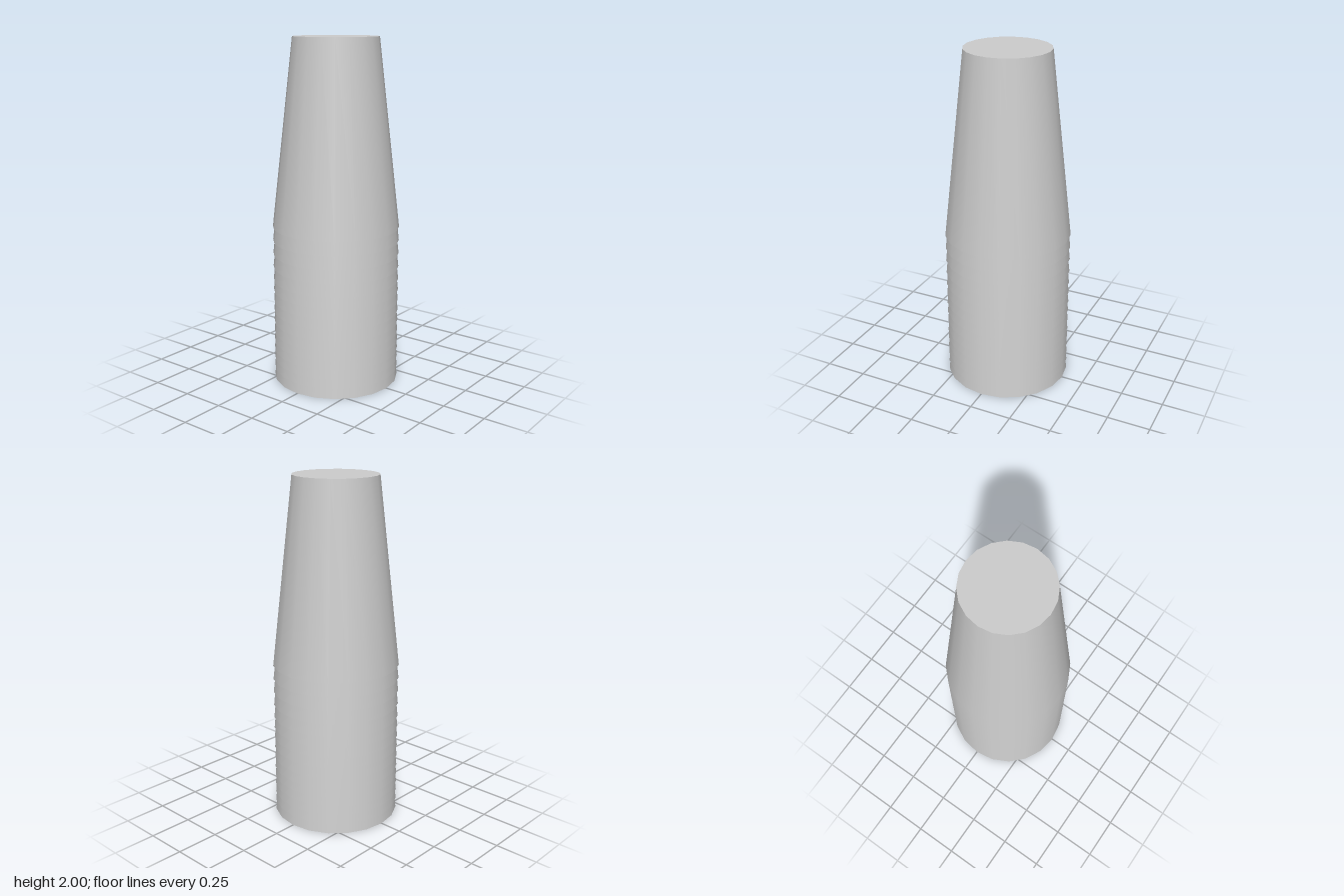
import * as THREE from 'three';
import { mergeGeometries } from 'three/addons/utils/BufferGeometryUtils.js';

const SIDES = 20;
const HEIGHT = 1.083;
const BASE_RADIUS = 0.367;
const TOP_RADIUS = 0.244;
const WALL = 0.01;

// One hollow, tapered cup standing upside down; each straight run is its own lathe so edges stay sharp
function cupGeometry() {
  const profile = [
    [BASE_RADIUS - WALL, 0], // rim, inside
    [BASE_RADIUS, 0], // rim, outside
    [TOP_RADIUS, HEIGHT], // outer wall
    [0, HEIGHT], // closed end
    [0, HEIGHT - WALL], // ceiling inside
    [TOP_RADIUS - WALL, HEIGHT - WALL],
    [BASE_RADIUS - WALL, 0], // inner wall
  ].map(([r, y]) => new THREE.Vector2(r, y));

  const runs = [];
  for (let i = 0; i < profile.length - 1; i++) {
    if (profile[i].x === 0 && profile[i + 1].x === 0) continue;
    runs.push(new THREE.LatheGeometry([profile[i], profile[i + 1]], SIDES));
  }
  return mergeGeometries(runs);
}

export function createModel() {
  const model = new THREE.Group();
  model.name = 'cupStack';
  const material = new THREE.MeshStandardMaterial({ color: 0xcccccc });
  const geometry = cupGeometry();

  // Heights of the rims, bottom cup first
  const rims = [0, 0.06, 0.117, 0.173, 0.227, 0.282, 0.345, 0.41,
    0.472, 0.535, 0.6, 0.677, 0.757, 0.836, 0.917];
  rims.forEach((y, i) => {
    const cup = new THREE.Mesh(geometry, material);
    cup.name = `cup${i + 1}`;
    cup.position.y = y;
    model.add(cup);
  });
  return model;
}
